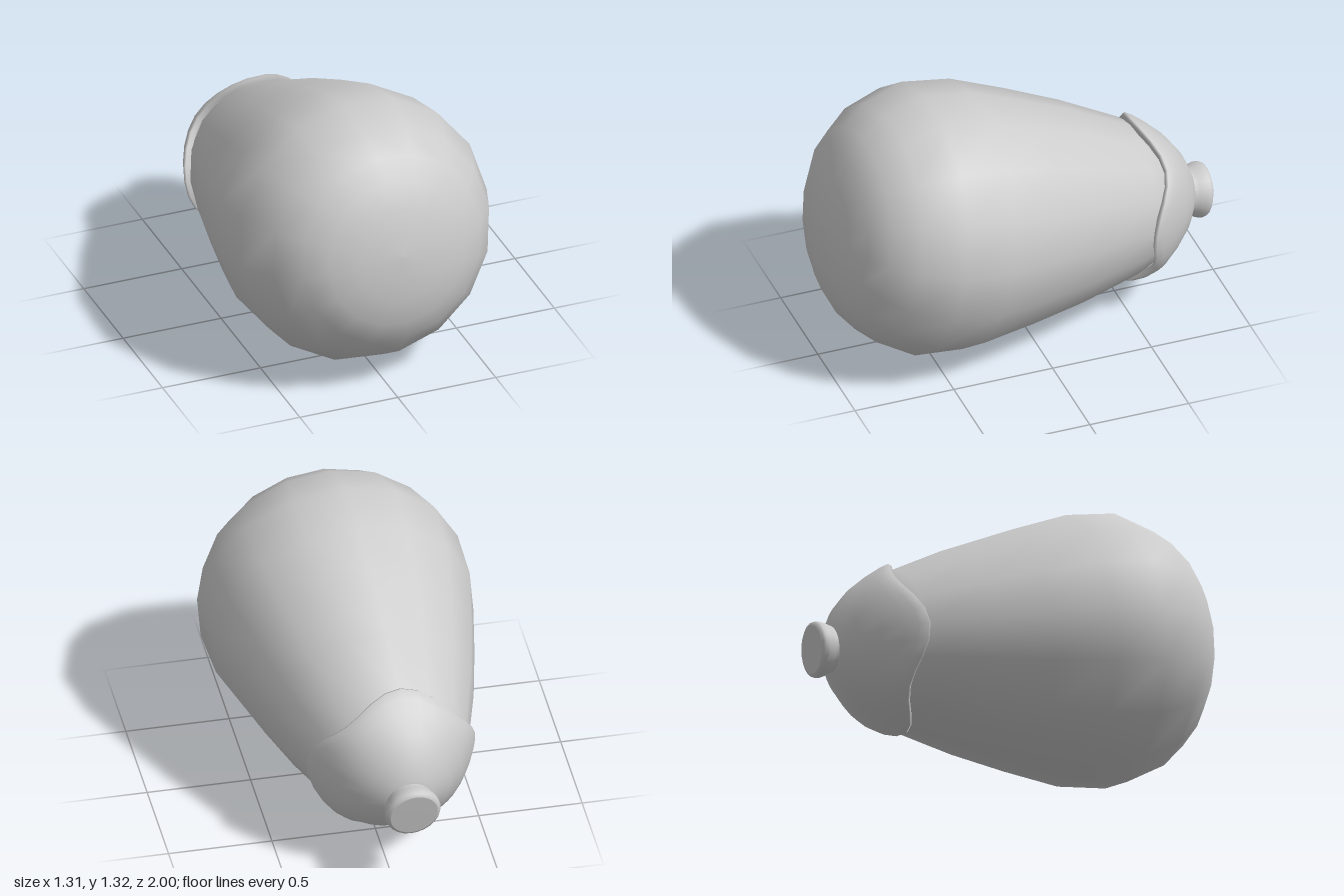
import * as THREE from 'three';
import { mergeVertices } from 'three/addons/utils/BufferGeometryUtils.js';

const material = new THREE.MeshStandardMaterial({ color: 0xcccccc, side: THREE.DoubleSide });

// Turned part along z; profile is [radius, z] from the back to the front.
function turned(name, profile, segments, bend) {
  const points = profile.map(([r, z]) => new THREE.Vector2(r, z));
  let geometry = new THREE.LatheGeometry(points, segments);
  geometry.rotateX(Math.PI / 2);
  if (bend) {
    const pos = geometry.attributes.position;
    const v = new THREE.Vector3();
    for (let i = 0; i < pos.count; i++) {
      bend(v.fromBufferAttribute(pos, i));
      pos.setXYZ(i, v.x, v.y, v.z);
    }
    // weld the seam so the bent surface shades smoothly
    geometry.deleteAttribute('uv');
    geometry.deleteAttribute('normal');
    geometry = mergeVertices(geometry, 1e-4);
    geometry.computeVertexNormals();
  }
  const mesh = new THREE.Mesh(geometry, material);
  mesh.name = name;
  return mesh;
}

export function createModel() {
  const fruit = new THREE.Group();
  fruit.name = 'eggplant';

  // Pear-shaped body, narrow towards the back
  fruit.add(turned('body', [
    [0, -1.28], [0.22, -1.21], [0.32, -1.12], [0.385, -1.0], [0.495, -0.69],
    [0.575, -0.41], [0.645, -0.13], [0.653, 0.12], [0.57, 0.322], [0.47, 0.436],
    [0.36, 0.503], [0.23, 0.543], [0.1, 0.562], [0, 0.567],
  ], 16));

  // Leafy cap with a rim of four soft points
  fruit.add(turned('cap', [
    [0, -1.355], [0.07, -1.35], [0.13, -1.33], [0.22, -1.275], [0.3, -1.2],
    [0.355, -1.13], [0.385, -1.08], [0.402, -1.04], [0.395, -1.028], [0.36, -1.04],
  ], 32, (v) => {
    const wave = Math.cos(4 * Math.atan2(v.x, -v.y));
    const weight = THREE.MathUtils.smoothstep(v.z, -1.25, -1.04);
    const spread = 1 + 0.035 * wave * weight;
    v.set(v.x * spread, v.y * spread, v.z + 0.04 * wave * weight);
  }));

  // Short flared stem with a flat end
  const stem = turned('stem', [
    [0, -1.432], [0.115, -1.432], [0.117, -1.431], [0.13, -1.424], [0.135, -1.41],
    [0.133, -1.39], [0.122, -1.36], [0.112, -1.335], [0.112, -1.3],
  ], 24);
  fruit.add(stem);

  // Lay the fruit on its side, stem end drooping
  fruit.rotation.set(-0.172, 0.062, 0.09);
  fruit.position.set(0, 0.67, 0.43);

  const model = new THREE.Group();
  model.add(fruit);
  model.updateMatrixWorld(true);
  const box = new THREE.Box3().setFromObject(model, true);
  fruit.position.y -= box.min.y;
  fruit.position.z -= (box.min.z + box.max.z) / 2;
  return model;
}
